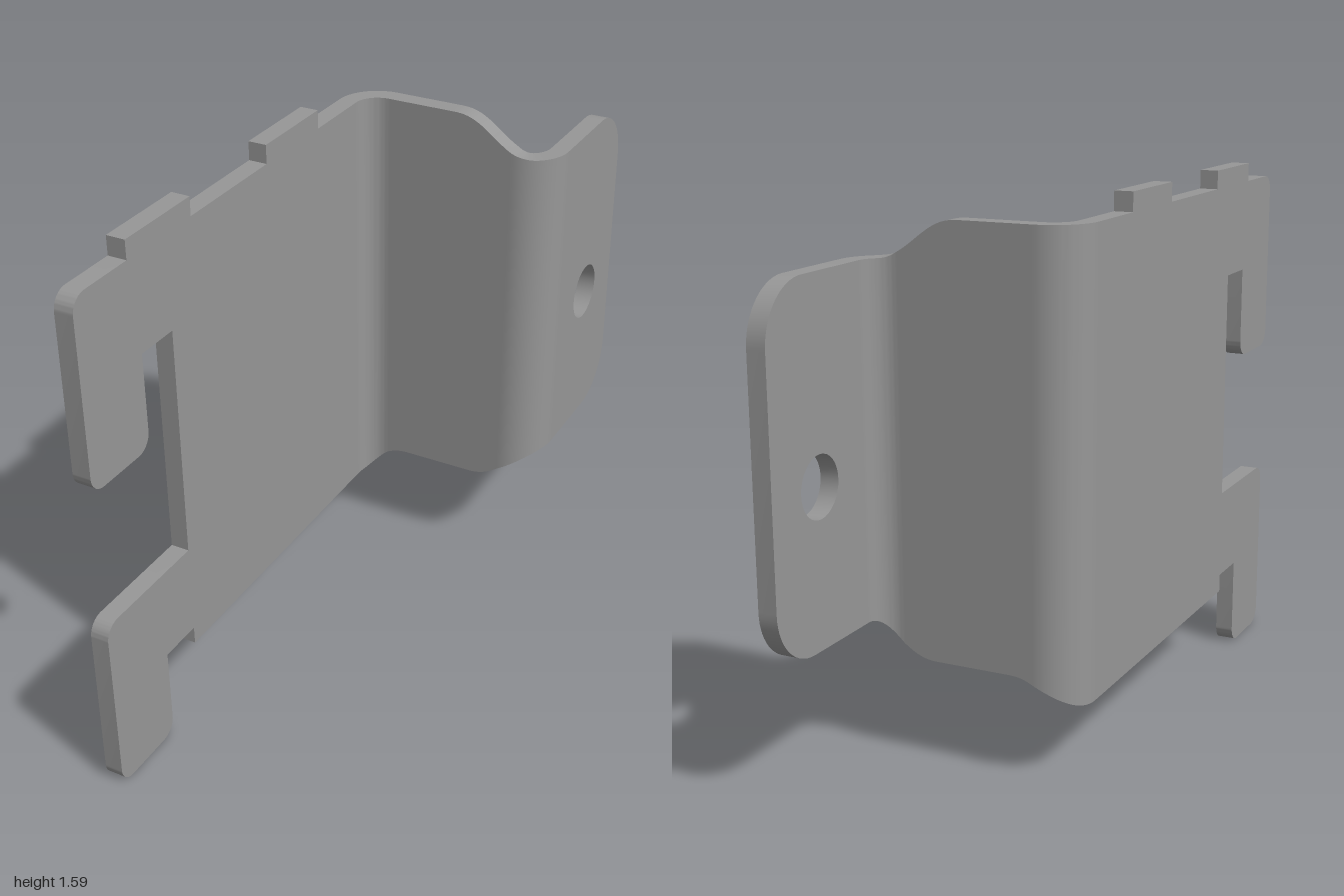
import * as THREE from 'three';
import { toCreasedNormals } from 'three/addons/utils/BufferGeometryUtils.js';

const T = 0.055;            // sheet thickness
const R = 0.0975;           // bend radius at mid-sheet
const BEND = R * Math.PI / 2;
const WEB = 0.4;            // straight length between the bends
const TOTAL = 2 * BEND + WEB;
const material = new THREE.MeshStandardMaterial({ color: 0x979797 });

function part(name, geometry) {
  const mesh = new THREE.Mesh(toCreasedNormals(geometry, 0.6), material);
  mesh.name = name;
  return mesh;
}

// Closed outline from [z, y, cornerRadius] points; corners are right angles
function roundedShape(points) {
  const shape = new THREE.Shape();
  const n = points.length;
  points.forEach(([u, v, r = 0], i) => {
    const p = new THREE.Vector2(u, v);
    const toward = (q, d) => p.clone().add(new THREE.Vector2(q[0] - u, q[1] - v).setLength(d));
    const prev = points[(i + n - 1) % n], next = points[(i + 1) % n];
    const a = r ? toward(prev, r) : p;
    if (i === 0) shape.moveTo(a.x, a.y); else shape.lineTo(a.x, a.y);
    if (r) {
      const c1 = toward(prev, r * 0.4477), c2 = toward(next, r * 0.4477), b = toward(next, r);
      shape.bezierCurveTo(c1.x, c1.y, c2.x, c2.y, b.x, b.y);
    }
  });
  shape.closePath();
  return shape;
}

// Flat sheet standing in the z-y plane, its +x face at xMax
function sheet(shape, xMax) {
  return new THREE.ExtrudeGeometry(shape, { depth: T, bevelEnabled: false, curveSegments: 16 })
    .rotateY(-Math.PI / 2).translate(xMax, 0, 0);
}

// Mid-sheet position and normal (x, z) at length s along the double bend
function bendPath(s) {
  if (s <= BEND) {
    const a = s / R, n = [Math.cos(a), Math.sin(a)];
    return { p: [-0.2 - R * n[0], -0.375 - R * n[1]], n };
  }
  if (s <= BEND + WEB) return { p: [-0.2 + s - BEND, -0.375 - R], n: [0, 1] };
  const b = (s - BEND - WEB) / R, n = [Math.sin(b), Math.cos(b)];
  return { p: [0.2 + R * n[0], -0.57 + R * n[1]], n };
}

const step = THREE.MathUtils.smootherstep;
const topEdge = s => 1.53 - 0.11 * step(s, 0.36, 0.63);
const bottomEdge = s => 0.225 + 0.085 * step(s, 0, 0.235) + 0.11 * step(s, 0.44, TOTAL);

// Sweep a four-cornered section along the bends with curved upper and lower edges
function bentWeb() {
  const N = 90, positions = [], index = [];
  for (let i = 0; i <= N; i++) {
    const s = TOTAL * i / N, { p, n } = bendPath(s);
    const top = topEdge(s), bottom = bottomEdge(s), h = T / 2;
    for (const [side, y] of [[h, top], [-h, top], [-h, bottom], [h, bottom]])
      positions.push(p[0] + n[0] * side, y, p[1] + n[1] * side);
    if (i === N) break;
    for (let k = 0; k < 4; k++) {
      const a = i * 4 + k, b = i * 4 + (k + 1) % 4;
      index.push(a, a + 4, b + 4, a, b + 4, b);
    }
  }
  const g = new THREE.BufferGeometry();
  g.setAttribute('position', new THREE.Float32BufferAttribute(positions, 3));
  g.setIndex(index);
  return g;
}

export function createModel() {
  const group = new THREE.Group();
  group.name = 'sheetMetalBracket';

  // Main plate with two hooks at the front and two lugs on top
  const r = 0.05;
  const plate = roundedShape([
    [-0.375, 0.225], [0.615, 0.225], [0.615, 0.28], [0.75, 0.28],
    [0.75, 0, r], [1, 0, r], [1, 0.555, r],
    [0.615, 0.555], [0.615, 1.255], [0.75, 1.255],
    [0.75, 0.975, r], [1, 0.975, r], [1, 1.53, r],
    [0.78, 1.53], [0.78, 1.585], [0.5, 1.585], [0.5, 1.53],
    [0.13, 1.53], [0.13, 1.585], [-0.15, 1.585], [-0.15, 1.53],
    [-0.375, 1.53],
  ]);
  group.add(part('hookPlate', sheet(plate, -0.27)));

  // Double bend joining the plate and the mounting tab
  group.add(part('bentWeb', bentWeb()));

  // Mounting tab with rounded rear corners and a bolt hole
  const tab = roundedShape([
    [-1, 0.42, 0.165], [-0.57, 0.42], [-0.57, 1.42], [-1, 1.42, 0.165],
  ]);
  const hole = new THREE.Path();
  hole.absarc(-0.785, 0.863, 0.087, 0, Math.PI * 2, true);
  tab.holes.push(hole);
  group.add(part('mountingTab', sheet(tab, 0.325)));

  return group;
}
